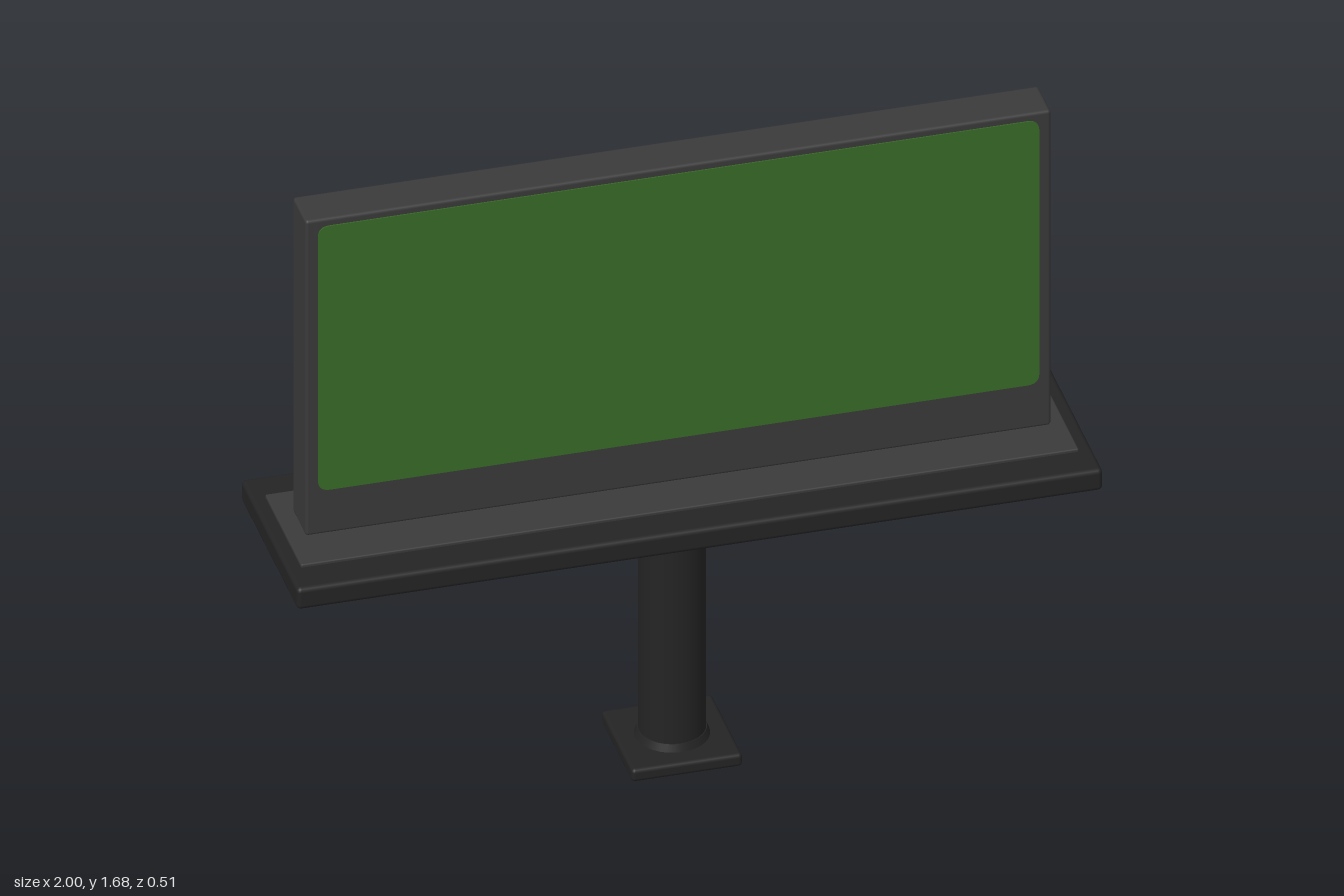
import * as THREE from 'three';
import { RoundedBoxGeometry } from 'three/addons/geometries/RoundedBoxGeometry.js';

function material(name, color) {
  const m = new THREE.MeshStandardMaterial({ color });
  m.name = name;
  return m;
}

// Rectangle with softened corners, centred on the origin
function roundedRect(w, h, r) {
  const s = new THREE.Shape();
  const x = w / 2, y = h / 2;
  s.moveTo(-x + r, -y);
  s.lineTo(x - r, -y).quadraticCurveTo(x, -y, x, -y + r);
  s.lineTo(x, y - r).quadraticCurveTo(x, y, x - r, y);
  s.lineTo(-x + r, y).quadraticCurveTo(-x, y, -x, y - r);
  s.lineTo(-x, -y + r).quadraticCurveTo(-x, -y, -x + r, -y);
  return s;
}

export function createModel() {
  const group = new THREE.Group();
  const darkMetal = material('dark metal', 0x242424);
  const frameGrey = material('frame grey', 0x3a3a3a);
  const panelGreen = material('panel green', 0x386b26);

  const add = (name, geometry, mat, x, y, z) => {
    const mesh = new THREE.Mesh(geometry, mat);
    mesh.name = name;
    mesh.position.set(x, y, z);
    group.add(mesh);
    return mesh;
  };
  const block = (name, mat, w, h, d, x, y, z, r = 0.006) =>
    add(name, new RoundedBoxGeometry(w, h, d, 2, r), mat, x, y, z);

  // Foot plate and round post
  block('footPlate', darkMetal, 0.275, 0.035, 0.28, 0, 0.0175, 0, 0.01);
  add('post', new THREE.CylinderGeometry(0.082, 0.082, 0.69, 32), darkMetal, 0, 0.375, 0);
  add('postCollar', new THREE.CylinderGeometry(0.084, 0.092, 0.02, 32), darkMetal, 0, 0.044, 0);

  // Walkway: dark slab with a paler raised deck
  block('walkway', darkMetal, 2, 0.06, 0.51, 0, 0.738, 0, 0.012);
  block('walkwayDeck', frameGrey, 1.93, 0.02, 0.325, 0, 0.766, 0, 0.004);

  // Brackets under the walkway and mounts between deck and board
  for (const side of [-1, 1]) {
    block('bracketBar', frameGrey, 0.035, 0.025, 0.44, side * 0.78, 0.7, 0);
    block('bracketTab', frameGrey, 0.09, 0.025, 0.05, side * 0.745, 0.702, 0);
    block('boardMount', darkMetal, 0.12, 0.03, 0.07, side * 0.77, 0.778, 0);
  }

  // Board body
  block('boardFrame', frameGrey, 1.85, 0.895, 0.116, 0, 1.2325, 0, 0.008);

  // Green display panels on both faces
  const panel = new THREE.ExtrudeGeometry(roundedRect(1.79, 0.75, 0.03), {
    depth: 0.006, bevelEnabled: false, curveSegments: 6,
  });
  add('frontPanel', panel, panelGreen, 0, 1.285, 0.055);
  add('backPanel', panel, panelGreen, 0, 1.285, -0.055).rotation.y = Math.PI;

  return group;
}
